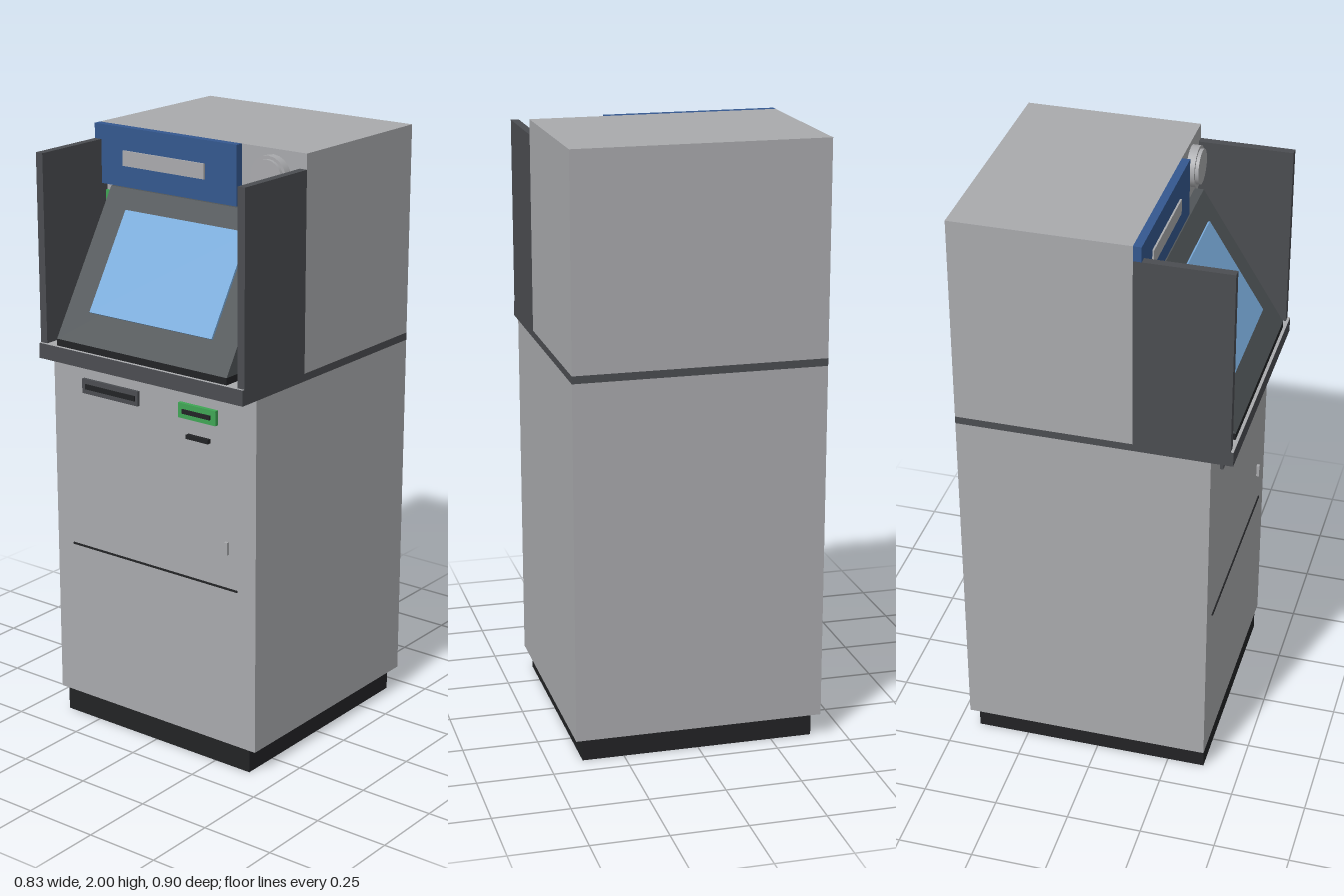
import * as THREE from 'three';

const mat = (name, color, side = THREE.FrontSide) => {
  const m = new THREE.MeshStandardMaterial({ color, side });
  m.name = name;
  return m;
};

export function createModel() {
  const grey = mat('cabinet grey', 0xa9aaad);
  const dark = mat('trim dark grey', 0x4b4d51);
  const slate = mat('console slate', 0x505558);
  const black = mat('black', 0x222325, THREE.DoubleSide);
  const blue = mat('header blue', 0x34588f);
  const sky = mat('screen blue', 0x7aacdc);
  const green = mat('signal green', 0x3fa655);

  const model = new THREE.Group();
  model.name = 'kiosk';

  const add = (name, geometry, material) => {
    const mesh = new THREE.Mesh(geometry, material);
    mesh.name = name;
    model.add(mesh);
    return mesh;
  };
  // Box given by its extents on each axis
  const box = (name, material, [x0, x1], [y0, y1], [z0, z1]) => {
    const mesh = add(name, new THREE.BoxGeometry(x1 - x0, y1 - y0, z1 - z0), material);
    mesh.position.set((x0 + x1) / 2, (y0 + y1) / 2, (z0 + z1) / 2);
    return mesh;
  };

  const W = 0.414;
  const FRONT = 0.38;
  const HEAD = 0.13;
  const full = [-W, W];

  // Open plinth: four thin walls with no floor
  const plinth = new THREE.Group();
  plinth.name = 'plinth';
  model.add(plinth);
  for (const s of [-1, 1]) {
    const frontBack = new THREE.Mesh(new THREE.PlaneGeometry(0.776, 0.08), black);
    frontBack.position.set(0, 0.04, -0.025 + s * 0.4);
    if (s < 0) frontBack.rotation.y = Math.PI;
    const side = new THREE.Mesh(new THREE.PlaneGeometry(0.8, 0.08), black);
    side.position.set(s * 0.388, 0.04, -0.025);
    side.rotation.y = s * Math.PI / 2;
    frontBack.name = side.name = 'plinthWall';
    plinth.add(frontBack, side);
  }

  // Main bodies and the dark dividing band
  box('lowerCabinet', grey, full, [0.08, 1.275], [-0.45, FRONT]);
  box('dividingBand', dark, full, [1.275, 1.3], [-0.45, HEAD]);
  box('upperCabinet', grey, full, [1.3, 2], [-0.45, HEAD]);

  // Projecting shelf with a pale top
  box('shelf', dark, full, [1.275, 1.325], [HEAD, 0.45]);
  const shelfTop = add('shelfTop', new THREE.PlaneGeometry(2 * W, 0.45 - HEAD), grey);
  shelfTop.rotation.x = -Math.PI / 2;
  shelfTop.position.set(0, 1.3265, (HEAD + 0.45) / 2);

  // Privacy wings
  for (const s of [-1, 1]) {
    const wing = box(s > 0 ? 'leftWing' : 'rightWing', dark, [-0.0135, 0.0135], [1.325, 1.95], [HEAD, 0.441]);
    wing.position.x = s * (W - 0.0135);
  }

  // Sloping console: side profile drawn as (-z, y), extruded across x
  const profile = new THREE.Shape([
    [-HEAD, 1.35], [-0.44, 1.35], [-0.16, 1.803], [-HEAD, 1.803],
  ].map(([a, b]) => new THREE.Vector2(a, b)));
  const consoleGeo = new THREE.ExtrudeGeometry(profile, { depth: 0.69, bevelEnabled: false });
  consoleGeo.translate(0, 0, -0.345).rotateY(Math.PI / 2);
  add('console', consoleGeo, slate);
  box('consoleBase', black, [-0.345, 0.345], [1.327, 1.35], [HEAD, 0.44]);

  // Screen lying on the slope
  const tilt = Math.atan2(0.28, 0.453);
  const screen = add('screen', new THREE.BoxGeometry(0.496, 0.353, 0.009), sky);
  screen.rotation.x = -tilt;
  screen.position.set(0, 1.592, 0.294);

  // Header sign with its plate
  box('headerSign', blue, [-W, 0.165], [1.805, 2], [HEAD, 0.157]);
  box('headerPlate', grey, [-0.293, 0.04], [1.875, 1.925], [0.157, 0.163]);

  // Round mirror housing: two stepped discs
  for (const [name, r, z0, z1] of [['mirrorHousing', 0.068, HEAD, 0.157], ['mirrorFace', 0.058, 0.157, 0.168]]) {
    const disc = add(name, new THREE.CylinderGeometry(r, r, z1 - z0, 20), grey);
    disc.rotation.x = Math.PI / 2;
    disc.position.set(0.288, 1.914, (z0 + z1) / 2);
  }

  // Green indicator beside the console
  box('indicator', green, [-0.387, -0.346], [1.675, 1.78], [HEAD, 0.139]);

  // Slots on the lower front
  box('cashSlotFrame', dark, [-0.285, -0.052], [1.166, 1.215], [FRONT, 0.391]);
  box('cashSlot', black, [-0.27, -0.062], [1.182, 1.199], [FRONT, 0.395]);
  box('cardSlotFrame', green, [0.116, 0.265], [1.166, 1.215], [FRONT, 0.394]);
  box('cardSlot', black, [0.135, 0.246], [1.183, 1.197], [FRONT, 0.4]);
  box('receiptSlot', black, [0.147, 0.235], [1.1, 1.114], [FRONT, 0.394]);

  // Door seam and handle
  box('doorSeam', black, [-0.345, 0.342], [0.622, 0.628], [FRONT, 0.384]);
  box('doorHandle', grey, [0.295, 0.308], [0.743, 0.785], [FRONT, 0.39]);

  return model;
}
